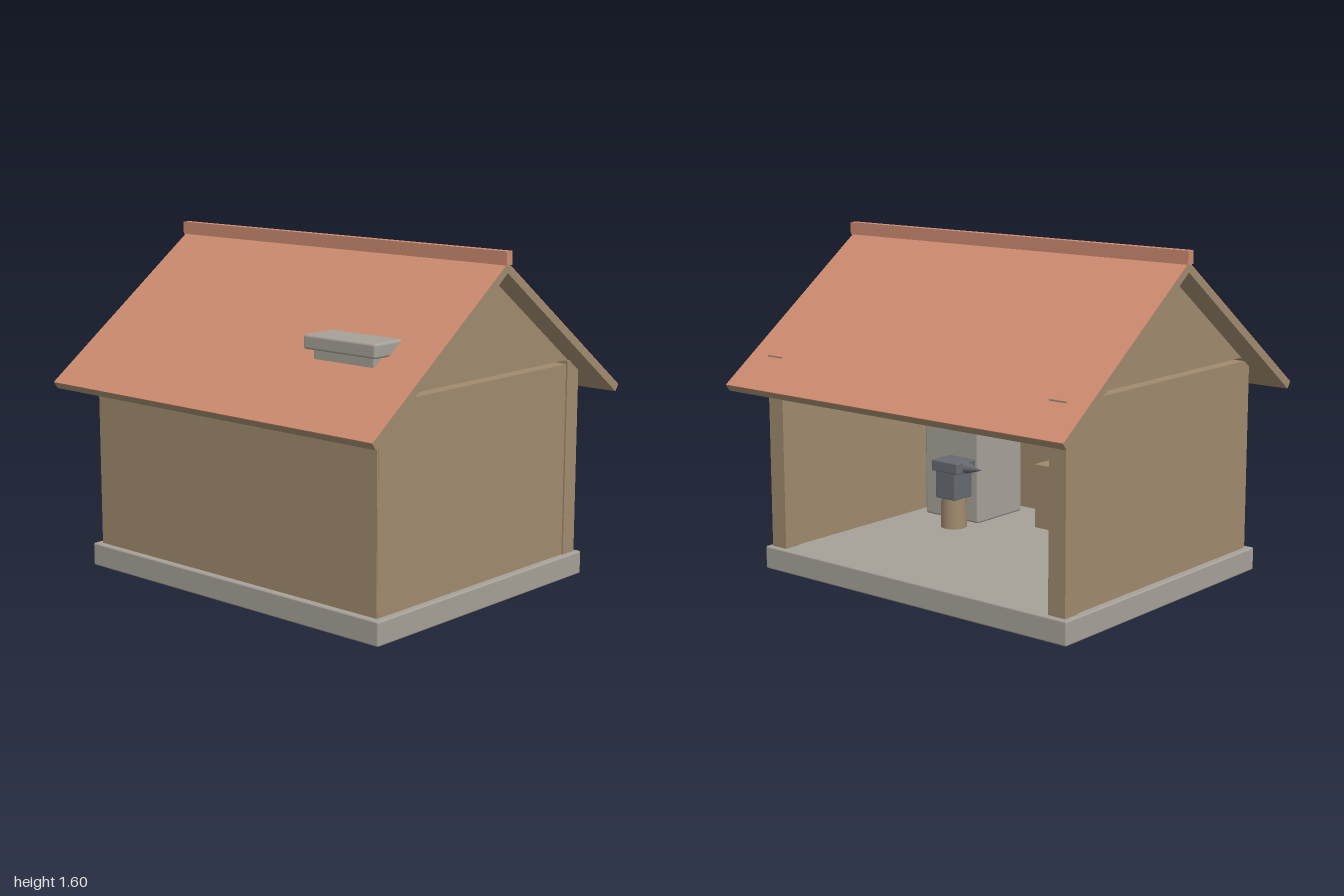
import * as THREE from 'three';
import { RoundedBoxGeometry } from 'three/addons/geometries/RoundedBoxGeometry.js';

const mat = (color) => new THREE.MeshStandardMaterial({ color });
const wood = mat(0xa08a6e);
const tile = mat(0xcd8b70);
const stone = mat(0xa6a198);
const iron = mat(0x666a70);

export function createModel() {
  const group = new THREE.Group();

  const add = (name, geometry, material, x = 0, y = 0, z = 0) => {
    const mesh = new THREE.Mesh(geometry, material);
    mesh.name = name;
    mesh.position.set(x, y, z);
    group.add(mesh);
    return mesh;
  };

  // box given by its extents: [x0, x1], [y0, y1], [z0, z1]; r rounds the edges
  const block = (name, material, [x0, x1], [y0, y1], [z0, z1], r = 0) => {
    const s = [x1 - x0, y1 - y0, z1 - z0];
    const geo = r ? new RoundedBoxGeometry(...s, 2, r) : new THREE.BoxGeometry(...s);
    return add(name, geo, material, (x0 + x1) / 2, (y0 + y1) / 2, (z0 + z1) / 2);
  };

  // cross-section of [z, y] points extruded along x, centred on x
  const profile = (name, material, points, width, x = 0) => {
    const shape = new THREE.Shape(points.map(([z, y]) => new THREE.Vector2(-z, y)));
    const geo = new THREE.ExtrudeGeometry(shape, { depth: width, bevelEnabled: false });
    geo.translate(0, 0, -width / 2).rotateY(Math.PI / 2);
    return add(name, geo, material, x);
  };

  // foundation slab
  block('foundation', stone, [-0.905, 0.905], [0, 0.11], [-0.73, 0.73], 0.008);

  // front wall, side walls, gables and rear posts
  block('frontWall', wood, [-0.87, 0.87], [0.11, 1.01], [0.63, 0.7]);
  for (const side of [-1, 1]) {
    const span = (a, b) => [Math.min(side * a, side * b), Math.max(side * a, side * b)];
    block('sideWall', wood, span(0.8, 0.872), [0.11, 1.015], [-0.63, 0.695]);
    block('rearPost', wood, span(0.79, 0.88), [0.11, 1.032], [-0.705, -0.618]);
    profile('gable', wood, [[-0.636, 1.034], [0.636, 1.034], [0, 1.505]], 0.07, side * 0.837);
  }

  // beam over the open rear, with a small iron horseshoe hung at its middle
  block('rearBeam', wood, [-0.79, 0.79], [0.9, 1.0], [-0.7, -0.62]);
  const horseshoe = add('horseshoe', new THREE.TorusGeometry(0.035, 0.01, 8, 20, Math.PI * 1.5),
    iron, 0, 0.925, -0.71);
  horseshoe.rotation.z = Math.PI * 0.75;

  // timber roof with a tiled skin on each slope and a ridge cap
  profile('roofDeck', wood, [
    [0, 1.542], [0.87, 0.9], [0.849, 0.871], [0, 1.5], [-0.849, 0.871], [-0.87, 0.9],
  ], 1.984);
  profile('roofTiles', tile, [
    [0, 1.546], [0.871, 0.903], [0.87, 0.9], [0, 1.542], [-0.87, 0.9], [-0.871, 0.903],
  ], 1.984);
  block('ridgeCap', tile, [-1, 1], [1.535, 1.595], [-0.02, 0.02]);

  // hearth column rising through the roof
  block('chimney', stone, [0.38, 0.73], [0.11, 1.18], [0.215, 0.56], 0.012);
  block('chimneyCap', stone, [0.35, 0.76], [1.175, 1.24], [0.18, 0.59], 0.012);

  // anvil on a log
  add('anvilLog', new THREE.CylinderGeometry(0.062, 0.065, 0.16, 20), wood, 0.447, 0.185, 0.11);
  block('anvilBody', iron, [0.385, 0.51], [0.26, 0.4], [0.045, 0.175], 0.006);
  block('anvilFace', iron, [0.365, 0.53], [0.395, 0.45], [0.04, 0.18], 0.006);
  const horn = add('anvilHorn', new THREE.ConeGeometry(0.03, 0.1, 16), iron, 0.315, 0.42, 0.11);
  horn.rotation.z = Math.PI / 2;

  // work bench against the front wall
  block('workBench', wood, [-0.45, 0.125], [0.11, 0.43], [0.35, 0.63]);

  return group;
}
